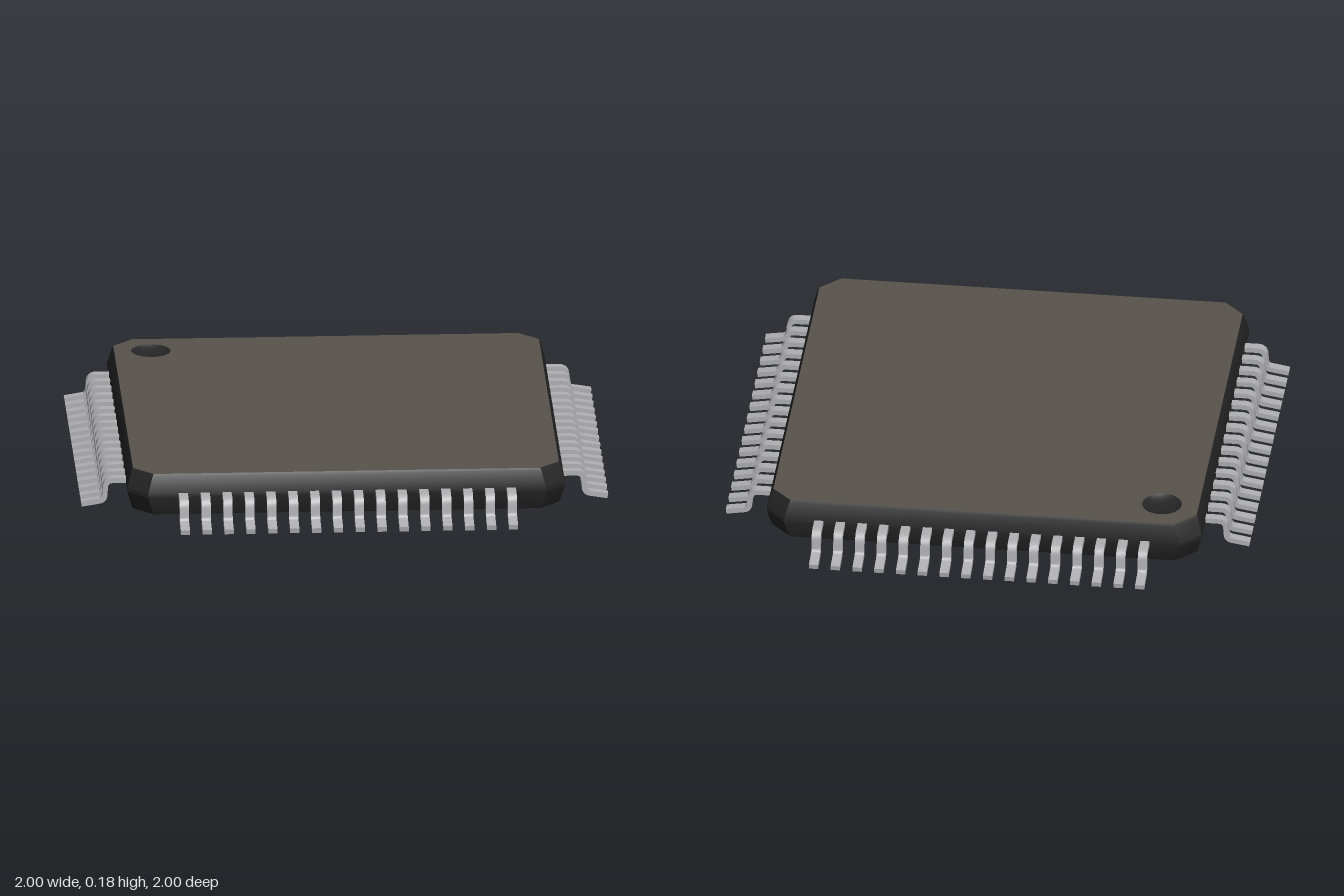
import * as THREE from 'three';
import { toCreasedNormals } from 'three/addons/utils/BufferGeometryUtils.js';

const material = (name, color, side = THREE.FrontSide) => {
  const m = new THREE.MeshStandardMaterial({ color, side });
  m.name = name;
  return m;
};

// Square outline with cut corners, counter-clockwise
const octagon = (h, c = 0.075) => [
  [h, c - h], [h, h - c], [h - c, h], [c - h, h],
  [-h, h - c], [-h, c - h], [c - h, -h], [h - c, -h],
].map(([x, y]) => new THREE.Vector2(x, y));

// Package wall lofted through octagonal rings of [half width, height]
function wallGeometry(rings) {
  const pos = [];
  const at = ([h, y], i) => {
    const p = octagon(h)[i % 8];
    return [p.x, y, -p.y];
  };
  for (let r = 0; r < rings.length - 1; r++) {
    for (let i = 0; i < 8; i++) {
      const a = at(rings[r], i), b = at(rings[r], i + 1);
      const c = at(rings[r + 1], i + 1), d = at(rings[r + 1], i);
      pos.push(...a, ...b, ...c, ...a, ...c, ...d);
    }
  }
  const g = new THREE.BufferGeometry();
  g.setAttribute('position', new THREE.Float32BufferAttribute(pos, 3));
  return toCreasedNormals(g, 0.35);
}

// Bent strip: a centre line thickened to both sides and extruded to its width
function pinGeometry(width, half) {
  const V = (x, y) => new THREE.Vector2(x, y);
  const path = [
    V(0.81, 0.103),
    ...new THREE.QuadraticBezierCurve(V(0.878, 0.103), V(0.907, 0.103), V(0.908, 0.075)).getPoints(6),
    ...new THREE.QuadraticBezierCurve(V(0.91, 0.046), V(0.911, 0.023), V(0.935, 0.021)).getPoints(6),
    V(0.999, 0.0105),
  ];
  const upper = [], lower = [];
  path.forEach((p, i) => {
    const t = path[Math.min(i + 1, path.length - 1)].clone().sub(path[Math.max(i - 1, 0)]).normalize();
    upper.push(V(p.x - t.y * half, p.y + t.x * half));
    lower.push(V(p.x + t.y * half, p.y - t.x * half));
  });
  const g = new THREE.ExtrudeGeometry(new THREE.Shape([...lower, ...upper.reverse()]), { depth: width, bevelEnabled: false });
  g.translate(0, 0, -width / 2);
  return toCreasedNormals(g, 0.7);
}

// Exposed pad outline: square with small corner blocks and a tab on each edge
function padShape() {
  const e = 0.245, corner = 0.265, inner = 0.225, tab = 0.29, w = 0.035;
  const side = [
    [corner, -corner], [corner, -inner], [e, -inner], [e, -w], [tab, -w],
    [tab, w], [e, w], [e, inner], [corner, inner],
  ];
  const pts = [];
  for (let k = 0; k < 4; k++) {
    for (const [x, y] of side) {
      pts.push(new THREE.Vector2(x, y).rotateAround(new THREE.Vector2(), k * Math.PI / 2));
    }
  }
  return new THREE.Shape(pts);
}

export function createModel() {
  const black = material('body black', 0x252525, THREE.DoubleSide);
  const cover = material('cover grey brown', 0x58534c);
  const metal = material('pin metal', 0xb0b0b3);
  const padGrey = material('pad grey', 0x8e9093);

  const model = new THREE.Group();
  model.name = 'chip';
  const add = (name, geometry, mat, parent = model) => {
    const mesh = new THREE.Mesh(geometry, mat);
    mesh.name = name;
    parent.add(mesh);
    return mesh;
  };

  // Package body
  const top = 0.183, bottom = 0.022, half = 0.808;
  add('bodyWall', wallGeometry([[half, bottom], [0.813, 0.032], [0.83, 0.095], [0.83, 0.11], [0.813, 0.173], [half, top]]), black);
  add('bodyBottom', new THREE.ShapeGeometry(new THREE.Shape(octagon(half))).rotateX(Math.PI / 2).translate(0, bottom, 0), black);

  // Top face with a round hole for the marker dimple
  const mark = 0.668, radius = 0.075;
  const topShape = new THREE.Shape(octagon(half));
  topShape.holes.push(new THREE.Path().absarc(-mark, mark, radius, 0, Math.PI * 2, true));
  add('topFace', new THREE.ShapeGeometry(topShape, 20).rotateX(-Math.PI / 2).translate(0, top, 0), cover);

  // Shallow marker dimple
  const bowl = [[0, -0.018], [0.04, -0.016], [0.062, -0.009], [radius, 0]].map(([x, y]) => new THREE.Vector2(x, y));
  add('markerDimple', new THREE.LatheGeometry(bowl, 40), black).position.set(-mark, top, -mark);

  // Exposed pad underneath
  add('thermalPad', new THREE.ShapeGeometry(padShape()).rotateX(Math.PI / 2).translate(0, bottom - 0.002, 0), padGrey);

  // Sixteen pins on each of the four sides
  const pin = pinGeometry(0.035, 0.0098);
  ['left', 'back', 'right', 'front'].forEach((name, k) => {
    const row = new THREE.Group();
    row.name = name + 'Pins';
    row.rotation.y = k * Math.PI / 2;
    for (let i = 0; i < 16; i++) add('pin', pin, metal, row).position.z = (i - 7.5) * 0.083;
    model.add(row);
  });

  return model;
}
